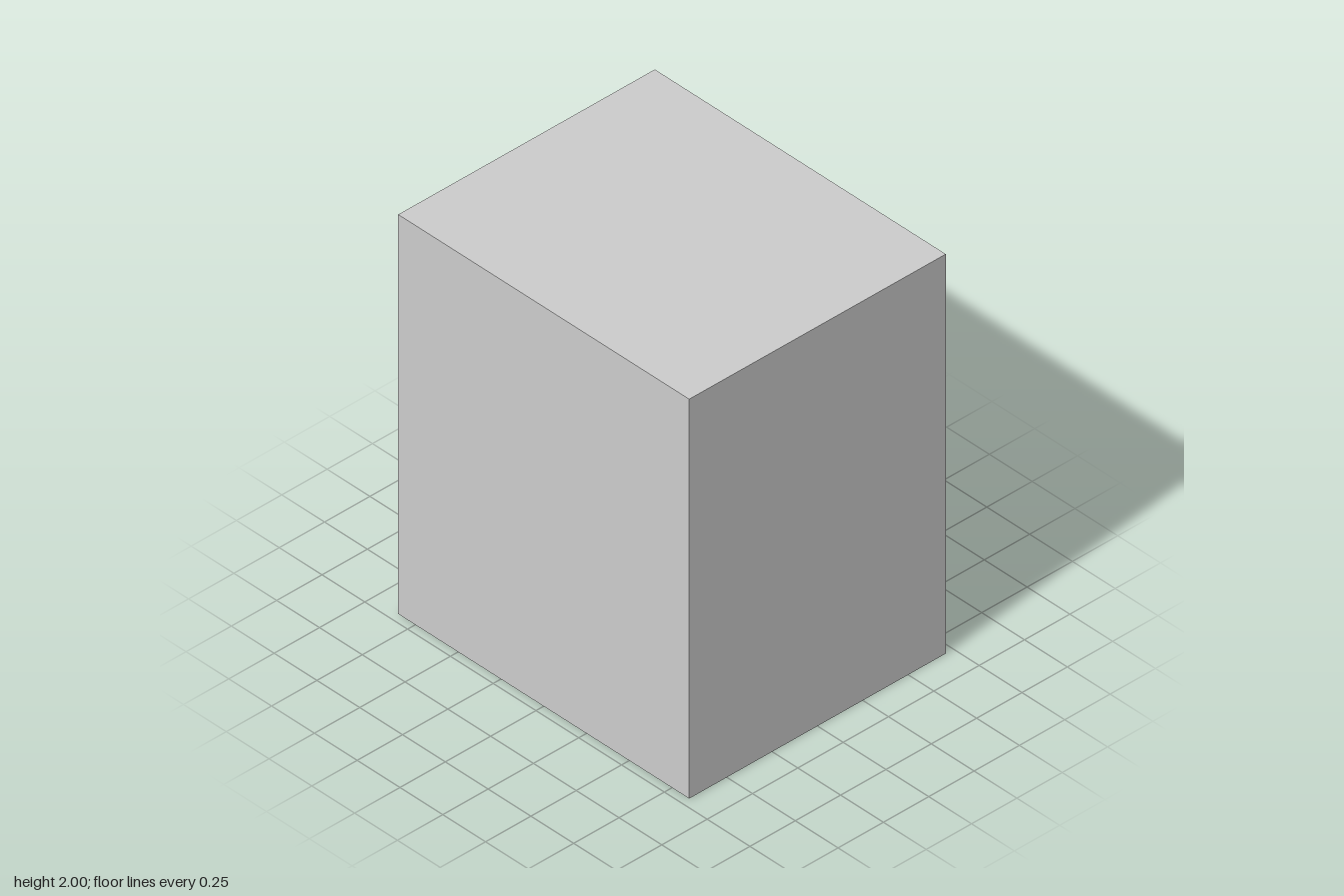
import * as THREE from 'three';

const W = 1.7, H = 2, D = 1.415; // outer size
const T = 0.0425;                // board thickness

// Counter-clockwise rectangle added to a Shape or Path
function rect(path, x0, y0, x1, y1) {
  path.moveTo(x0, y0);
  path.lineTo(x1, y0);
  path.lineTo(x1, y1);
  path.lineTo(x0, y1);
  path.closePath();
  return path;
}

export function createModel() {
  const group = new THREE.Group();
  group.name = 'cabinet';
  const material = new THREE.MeshStandardMaterial({ color: 0xcccccc });

  // Carcass: sides, top, bottom and middle shelf around two compartments
  const outline = rect(new THREE.Shape(), -W / 2, 0, W / 2, H);
  const opening = (H - 3 * T) / 2;
  for (let i = 0; i < 2; i++) {
    const y = T + i * (opening + T);
    outline.holes.push(rect(new THREE.Path(), -W / 2 + T, y, W / 2 - T, y + opening));
  }
  const carcass = new THREE.Mesh(
    new THREE.ExtrudeGeometry(outline, { depth: D - T, bevelEnabled: false }), material);
  carcass.name = 'carcassWithShelf';
  carcass.position.z = -D / 2;
  group.add(carcass);

  // Front panel closes the compartments; the back stays open
  const front = new THREE.Mesh(new THREE.BoxGeometry(W, H, T), material);
  front.name = 'frontPanel';
  front.position.set(0, H / 2, D / 2 - T / 2);
  group.add(front);

  return group;
}
